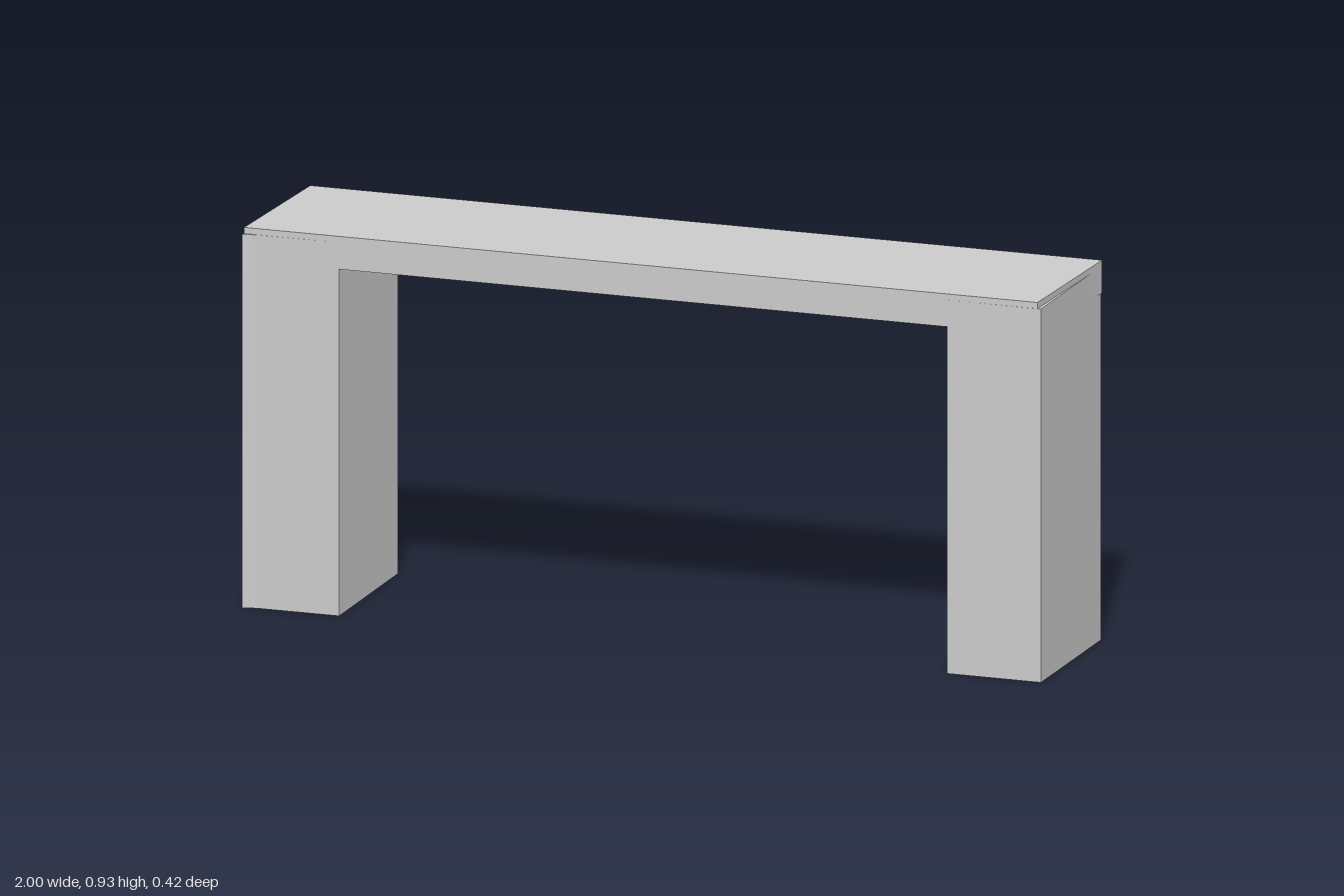
import * as THREE from 'three';

const material = new THREE.MeshStandardMaterial({ color: 0xcccccc, flatShading: true });

// Upright prism from a floor outline of [x, z] points, between two heights
function prism(name, outline, bottom, top) {
  const shape = new THREE.Shape(outline.map(([x, z]) => new THREE.Vector2(x, z)));
  const geometry = new THREE.ExtrudeGeometry(shape, { depth: top - bottom, bevelEnabled: false });
  geometry.rotateX(Math.PI / 2).translate(0, top, 0);
  const mesh = new THREE.Mesh(geometry, material);
  mesh.name = name;
  return mesh;
}

export function createModel() {
  const group = new THREE.Group();
  group.name = 'archway';

  // Lintel with slightly slanted ends
  group.add(prism('lintel',
    [[-0.98, -0.208], [1, -0.21], [0.987, 0.2], [-0.998, 0.2]], 0.845, 0.925));

  // Straight pillar
  group.add(prism('leftPillar',
    [[0.76, -0.208], [0.998, -0.208], [0.996, 0.201], [0.76, 0.2]], 0, 0.91));

  // Pillar with a skewed outer side and a small flare at its front corner
  group.add(prism('rightPillar',
    [[-0.76, -0.208], [-0.76, 0.2], [-0.965, 0.201], [-1, 0.209], [-0.957, -0.208]], 0, 0.91));

  return group;
}
